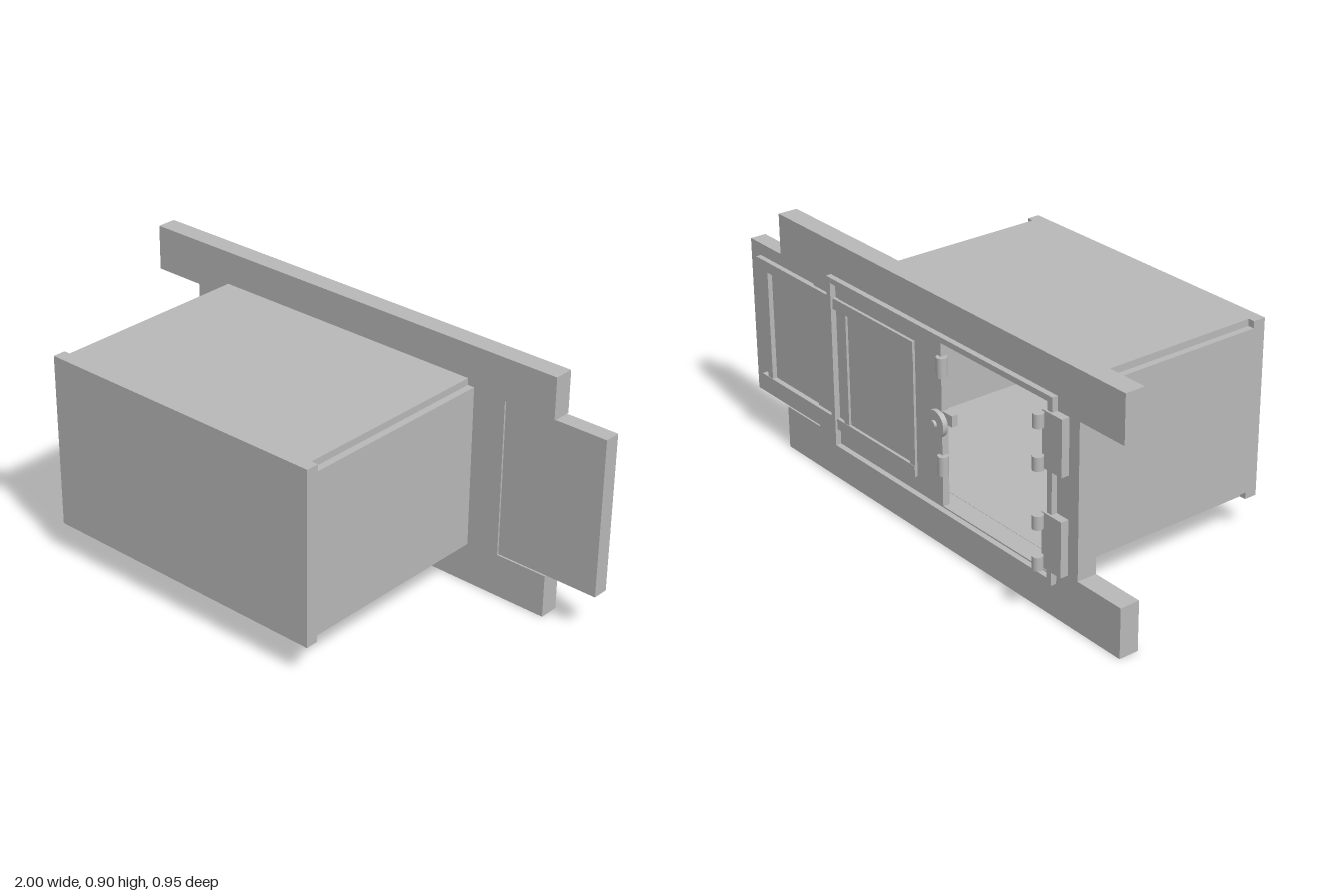
import * as THREE from 'three';

export function createModel() {
  const model = new THREE.Group();
  const grey = new THREE.MeshStandardMaterial({ color: 0xb8b8b8 });
  grey.name = 'plain grey';

  const add = (name, geometry, x = 0, y = 0, z = 0) => {
    const mesh = new THREE.Mesh(geometry, grey);
    mesh.name = name;
    mesh.position.set(x, y, z);
    model.add(mesh);
    return mesh;
  };
  // Box given by its limits on each axis
  const block = (name, x0, x1, y0, y1, z0, z1) =>
    add(name, new THREE.BoxGeometry(x1 - x0, y1 - y0, z1 - z0),
      (x0 + x1) / 2, (y0 + y1) / 2, (z0 + z1) / 2);

  // Wall plate, notched at both ends, with the opening into the box
  const outline = new THREE.Shape([
    [-1, 0], [0.8, 0], [0.8, 0.16], [0.6, 0.16], [0.6, 0.745], [0.8, 0.745],
    [0.8, 0.9], [-1, 0.9], [-1, 0.73], [-0.8, 0.73], [-0.8, 0.18], [-1, 0.18],
  ].map(([x, y]) => new THREE.Vector2(x, y)));
  outline.holes.push(new THREE.Path([
    [-0.65, 0.15], [-0.65, 0.75], [0.445, 0.75], [0.445, 0.15],
  ].map(([x, y]) => new THREE.Vector2(x, y))));
  add('wallPlate', new THREE.ExtrudeGeometry(outline, { depth: 0.074, bevelEnabled: false }), 0, 0, -0.409);

  // End panel set into the notch
  block('endPanel', 0.6, 1, 0.16, 0.745, -0.402, -0.342);

  // Box walls: the long corners stay open outside, the end slab covers them
  block('boxEnd', -0.677, 0.472, 0.126, 0.776, 0.428, 0.476);
  block('boxTop', -0.652, 0.446, 0.751, 0.776, -0.336, 0.428);
  block('boxBottom', -0.652, 0.446, 0.126, 0.151, -0.336, 0.428);
  block('boxLeft', 0.445, 0.472, 0.151, 0.751, -0.336, 0.428);
  block('boxRight', -0.677, -0.65, 0.151, 0.751, -0.336, 0.428);

  // Sliding door covering half of the opening
  block('slidingDoor', -0.12, 0.45, 0.151, 0.749, -0.411, -0.385);

  // Rails and uprights on the door and end panel
  for (const y of [0.205, 0.66]) block('rail', 0.02, 0.94, y, y + 0.04, -0.422, -0.4);
  for (const x of [0.02, 0.4, 0.875]) block('railUpright', x, x + 0.028, 0.245, 0.66, -0.42, -0.4);

  // Raised frame around the opening
  for (const y of [0.125, 0.757]) block('frameBar', -0.698, 0.492, y, y + 0.02, -0.43, -0.405);
  for (const x of [-0.698, 0.47]) block('frameUpright', x, x + 0.022, 0.145, 0.757, -0.43, -0.405);

  // Hinge leaves and knuckles
  for (const y of [0.18, 0.53]) block('hingeLeaf', -0.753, -0.66, y, y + 0.197, -0.438, -0.405);
  for (const y of [0.205, 0.35, 0.554, 0.699]) {
    add('hingeKnuckle', new THREE.CylinderGeometry(0.019, 0.019, 0.048, 24), -0.663, y, -0.456);
  }
  for (const y of [0.305, 0.66]) {
    add('doorKnuckle', new THREE.CylinderGeometry(0.019, 0.019, 0.07, 24), -0.122, y, -0.41);
  }

  // Round knob with its pin, and the bolt behind it
  const disc = (name, r, z0, z1) => {
    const knob = add(name, new THREE.CylinderGeometry(r, r, z1 - z0, 32), -0.1, 0.452, (z0 + z1) / 2);
    knob.rotation.x = Math.PI / 2;
  };
  disc('knobDisc', 0.048, -0.427, -0.408);
  disc('knobPin', 0.014, -0.437, -0.42);
  block('bolt', -0.17, -0.09, 0.46, 0.5, -0.408, -0.385);

  return model;
}
